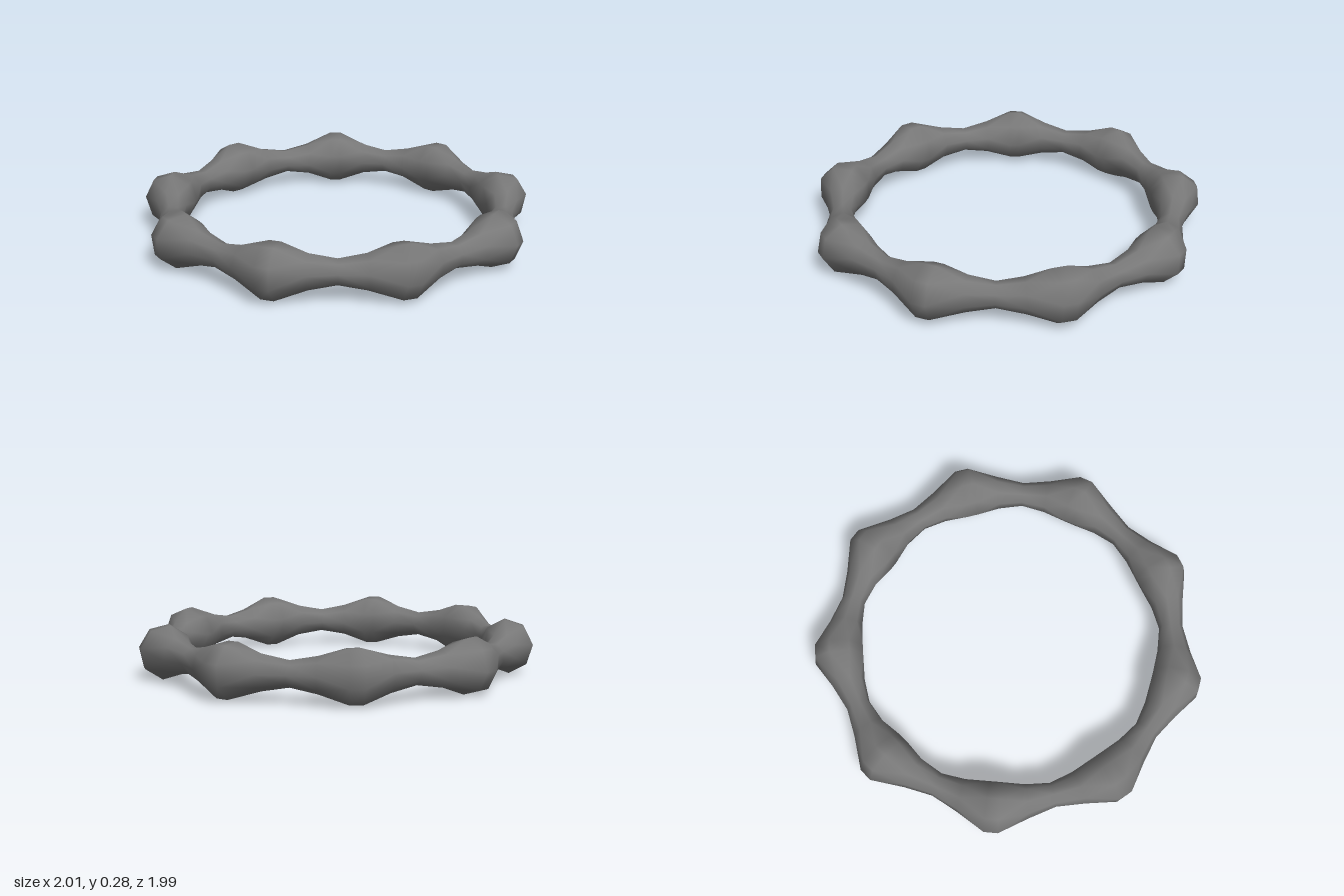
import * as THREE from 'three';

const BEADS = 9, STEPS = 5, SIDES = 8;
const TWIST = THREE.MathUtils.degToRad(125); // turn of the section from one bead to the next
const PITCH = (Math.PI * 2) / BEADS;
const HALF = 0.138;  // section radius at a bead
const BLUNT = 0.05;  // untwisted stretch on each side of a bead's middle
const SHIFT = 1;     // 9 x 125 degrees leaves the section one side further on

// Straight strands run from each bead section to the next, turned one,
// which pinches the band to a narrow twisted waist between beads.
function twistedRing() {
  const pos = [], index = [];
  const rings = BEADS * STEPS;
  for (let i = 0; i < rings; i++) {
    const bead = Math.floor(i / STEPS);
    const s = (i % STEPS) / (STEPS - 1);
    const theta = PITCH * (bead + 0.5 + THREE.MathUtils.lerp(BLUNT, 1 - BLUNT, s));
    const centre = 0.888 - 0.037 * 4 * s * (1 - s);
    for (let j = 0; j < SIDES; j++) {
      const a = Math.PI / 2 + (j / SIDES) * Math.PI * 2 - bead * TWIST;
      const u = HALF * THREE.MathUtils.lerp(Math.cos(a), Math.cos(a - TWIST), s);
      const v = HALF * THREE.MathUtils.lerp(Math.sin(a), Math.sin(a - TWIST), s);
      const r = centre + u * 0.96;
      pos.push(r * Math.sin(theta), 0.141 + v, r * Math.cos(theta) + 0.028);
    }
  }
  // Skin with its diagonals laid along the ridges, joining the last section
  // to the first with the leftover turn
  const id = (i, j) => i < rings
    ? i * SIDES + (j % SIDES)
    : (j + SIDES - SHIFT) % SIDES;
  for (let i = 0; i < rings; i++) {
    for (let j = 0; j < SIDES; j++) {
      const a = id(i, j), b = id(i + 1, j), c = id(i + 1, j + 1), d = id(i, j + 1);
      index.push(a, b, c, a, c, d);
    }
  }
  const geometry = new THREE.BufferGeometry();
  geometry.setAttribute('position', new THREE.Float32BufferAttribute(pos, 3));
  geometry.setIndex(index);
  geometry.computeVertexNormals();
  return geometry;
}

export function createModel() {
  const group = new THREE.Group();
  group.name = 'twistedBangle';
  const band = new THREE.Mesh(
    twistedRing(),
    new THREE.MeshStandardMaterial({ color: 0x787878 })
  );
  band.name = 'twistedBand';
  group.add(band);
  return group;
}
